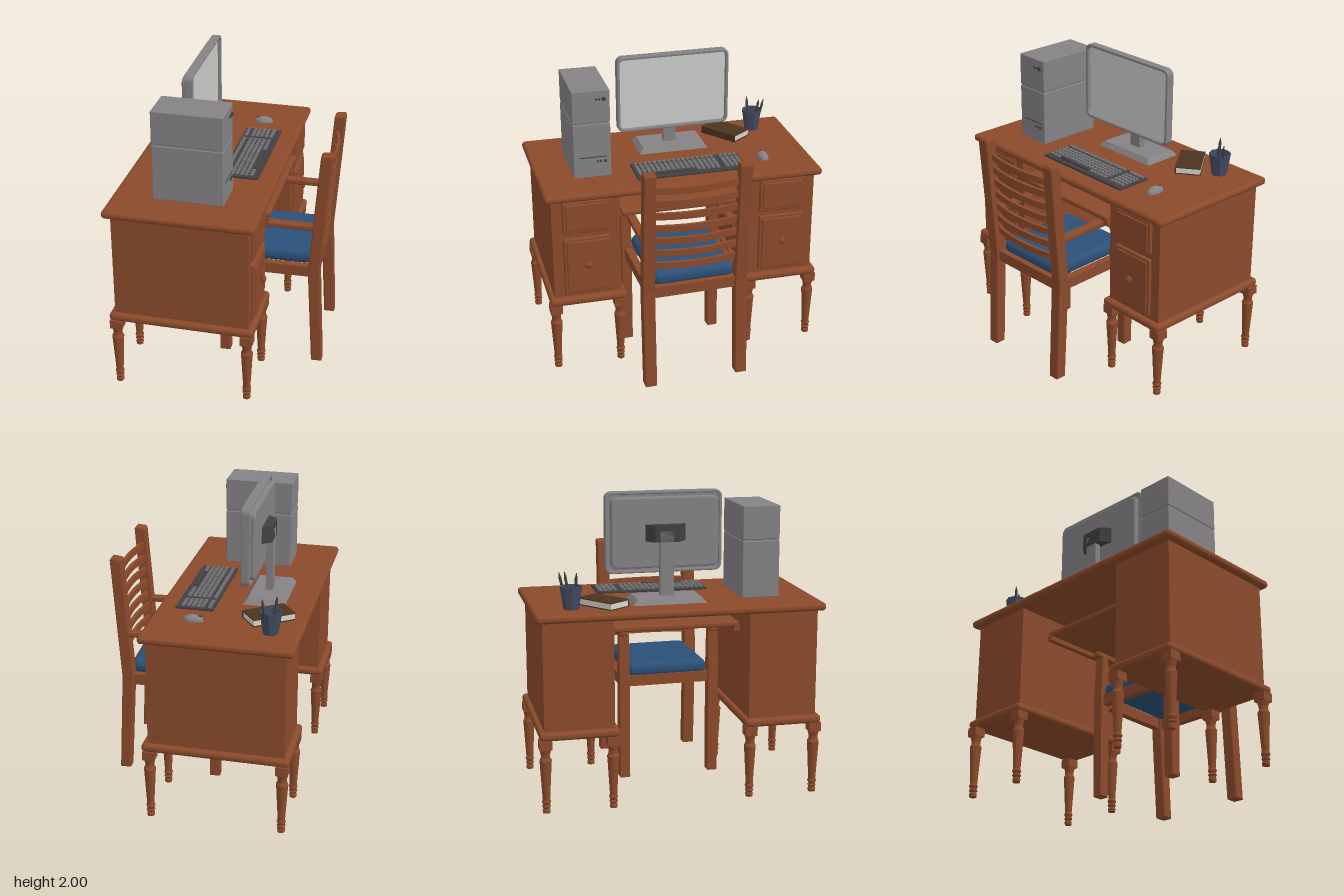
import * as THREE from 'three';
import { mergeGeometries } from 'three/addons/utils/BufferGeometryUtils.js';
import { RoundedBoxGeometry } from 'three/addons/geometries/RoundedBoxGeometry.js';

const mat = (name, color, flatShading = false) =>
  Object.assign(new THREE.MeshStandardMaterial({ color, flatShading }), { name });

const wood = mat('wood', 0x8b4a2b);
const grey = mat('grey plastic', 0x848284);
const glass = mat('screen', 0xc9ccc9);
const blue = mat('blue fabric', 0x2b5078);
const dark = mat('dark plastic', 0x404042);
const keyGrey = mat('key grey', 0x727274);
const cupBlue = mat('cup blue', 0x434b62);
const cover = mat('book cover', 0x4d3422);
const paper = mat('paper', 0xd8d5ce);
cupBlue.side = THREE.DoubleSide;

function add(parent, name, geo, material) {
  const m = new THREE.Mesh(geo, material);
  m.name = name;
  parent.add(m);
  return m;
}
function group(parent, name) {
  const g = new THREE.Group();
  g.name = name;
  parent.add(g);
  return g;
}
// box given by its limits; r > 0 rounds the edges
function box(parent, name, material, [x0, x1], [y0, y1], [z0, z1], r = 0) {
  const s = [x1 - x0, y1 - y0, z1 - z0];
  const geo = r ? new RoundedBoxGeometry(...s, 3, r) : new THREE.BoxGeometry(...s);
  const m = add(parent, name, geo, material);
  m.position.set((x0 + x1) / 2, (y0 + y1) / 2, (z0 + z1) / 2);
  return m;
}
function roundedRect(w, h, r, Type = THREE.Shape) {
  const s = new Type(), x = w / 2, y = h / 2;
  s.absarc(x - r, y - r, r, 0, Math.PI / 2);
  s.absarc(-x + r, y - r, r, Math.PI / 2, Math.PI);
  s.absarc(-x + r, -y + r, r, Math.PI, Math.PI * 1.5);
  s.absarc(x - r, -y + r, r, Math.PI * 1.5, Math.PI * 2);
  s.closePath();
  return s;
}
const poly = pts => new THREE.Shape(pts.map(p => new THREE.Vector2(...p)));
const lathe = (pts, n) => new THREE.LatheGeometry(pts.map(p => new THREE.Vector2(...p)), n);
const extrude = (shape, depth, bevel = 0) => new THREE.ExtrudeGeometry(shape, {
  depth, bevelEnabled: bevel > 0, bevelSize: bevel, bevelThickness: bevel, bevelOffset: -bevel, bevelSegments: 2, curveSegments: 8,
});

function buildDesk(root) {
  const desk = group(root, 'desk');
  box(desk, 'deskTop', wood, [-0.68, 0.3], [1.245, 1.297], [-0.94, 0.94], 0.024);
  const legGeo = lathe([[0, 0], [0.024, 0], [0.026, 0.02], [0.02, 0.03], [0.029, 0.045], [0.021, 0.055],
    [0.03, 0.075], [0.024, 0.09], [0.038, 0.33], [0.04, 0.35], [0.03, 0.37], [0.03, 0.39], [0.04, 0.43], [0.04, 0.44]], 12).toNonIndexed();
  legGeo.computeVertexNormals();
  for (const s of [1, -1]) {
    const ped = group(desk, s > 0 ? 'leftPedestal' : 'rightPedestal');
    const span = (a, b) => (s > 0 ? [a, b] : [-b, -a]);
    box(ped, 'cabinet', wood, [-0.63, 0.255], [0.53, 1.25], span(0.443, 0.895));
    box(ped, 'baseMoulding', wood, [-0.665, 0.293], [0.487, 0.542], span(0.411, 0.928), 0.024);
    // drawer fronts with a raised inner panel
    for (const [y0, y1] of [[1.01, 1.24], [0.565, 0.975]]) {
      box(ped, 'drawerFront', wood, [0.245, 0.275], [y0, y1], span(0.512, 0.826), 0.01);
      box(ped, 'drawerPanel', wood, [0.26, 0.283], [y0 + 0.02, y1 - 0.02], span(0.532, 0.806), 0.008);
    }
    const knob = add(ped, 'drawerKnob', lathe([[0, 0.045], [0.018, 0.04], [0.027, 0.03], [0.024, 0.022], [0.009, 0.016], [0.009, 0]].reverse(), 12), wood);
    knob.rotation.z = -Math.PI / 2;
    knob.position.set(0.276, 0.79, s * 0.669);
    // turned legs under square blocks
    for (const x of [-0.62, 0.245]) for (const z of [0.455, 0.89]) {
      const leg = add(ped, 'deskLeg', legGeo, wood);
      leg.position.set(x, 0.005, s * z);
      box(ped, 'legBlock', wood, [x - 0.04, x + 0.04], [0.43, 0.49], [s * z - 0.04, s * z + 0.04]);
    }
    box(desk, 'trayRunner', wood, [-0.4, 0.28], [1.075, 1.11], span(0.405, 0.443));
  }
  box(desk, 'slidingTray', wood, [-0.4, 0.29], [1.105, 1.14], [-0.435, 0.435], 0.012);
}

function buildChair(root) {
  const chair = group(root, 'chair');
  chair.position.set(0.6, 0, 0.015);
  chair.rotation.y = 0.03;
  const postGeo = extrude(poly([[-0.035, 0], [0.037, 0], [0.004, 0.7], [0.064, 1.54], [0.055, 1.555], [0, 1.55], [-0.012, 1.54], [-0.075, 0.72], [-0.07, 0.62]]), 0.066, 0.008);
  const frontGeo = extrude(poly([[-0.67, 0], [-0.6, 0], [-0.592, 0.72], [-0.61, 1.01], [-0.66, 1.01], [-0.675, 0.72]]), 0.06, 0.006);
  for (const s of [1, -1]) {
    add(chair, 'backPost', postGeo, wood).position.z = s * 0.314 - 0.025;
    add(chair, 'frontLeg', frontGeo, wood).position.z = s * 0.312 - 0.024;
    box(chair, 'sideRail', wood, [-0.62, -0.04], [0.645, 0.72], [s * 0.305 - 0.025, s * 0.305 + 0.025]);
    const arm = box(chair, 'armrest', wood, [-0.69, -0.03], [1.0, 1.04], [s * 0.315 - 0.03, s * 0.315 + 0.03], 0.012);
    arm.rotation.z = -0.012;
  }
  box(chair, 'frontRail', wood, [-0.655, -0.61], [0.645, 0.72], [-0.29, 0.29]);
  box(chair, 'backRail', wood, [-0.06, -0.012], [0.645, 0.72], [-0.29, 0.29]);
  box(chair, 'seatCushion', blue, [-0.655, -0.045], [0.7, 0.802], [-0.277, 0.277], 0.045);
  // seven bowed slats following the lean of the posts
  const slat = new THREE.Shape();
  slat.moveTo(-0.015, -0.29);
  slat.quadraticCurveTo(0.065, 0, -0.015, 0.29);
  slat.lineTo(-0.037, 0.29);
  slat.quadraticCurveTo(0.043, 0, -0.037, -0.29);
  const slatGeo = extrude(slat, 0.045).rotateX(Math.PI / 2);
  for (let i = 0; i < 7; i++) {
    const y = 0.9 + i * 0.0905;
    add(chair, 'backSlat', slatGeo, wood).position.set(-0.02 + (y - 0.7) * 0.07, y, 0);
  }
}

function buildMonitor(root) {
  const mon = group(root, 'monitor');
  const head = group(mon, 'display');
  head.position.set(-0.29, 1.735, -0.047);
  head.rotation.y = Math.PI / 2 + 0.012;
  const rim = roundedRect(0.775, 0.53, 0.045);
  rim.holes.push(roundedRect(0.735, 0.49, 0.03, THREE.Path));
  add(head, 'bezel', extrude(rim, 0.045, 0.006)).material = grey;
  add(head, 'displayPanel', extrude(roundedRect(0.765, 0.52, 0.042), 0.02), grey).position.z = 0.005;
  add(head, 'displayBack', extrude(roundedRect(0.71, 0.46, 0.04), 0.035, 0.012), grey).position.z = -0.022;
  add(head, 'screen', new THREE.ShapeGeometry(roundedRect(0.735, 0.49, 0.03)), glass).position.z = 0.028;
  // mount, neck and bevelled foot
  const mount = add(mon, 'mount', extrude(poly([[-0.315, -0.14], [-0.315, 0.14], [-0.385, 0.08], [-0.385, -0.08]]), 0.11).rotateX(Math.PI / 2), dark);
  mount.position.set(0, 1.79, -0.045);
  box(mon, 'neck', grey, [-0.385, -0.34], [1.31, 1.75], [-0.09, -0.002]);
  const foot = new THREE.BoxGeometry(0.27, 0.035, 0.48);
  const p = foot.attributes.position;
  for (let i = 0; i < p.count; i++) if (p.getY(i) > 0) p.setXYZ(i, p.getX(i) * 0.82, p.getY(i), p.getZ(i) * 0.88);
  foot.computeVertexNormals();
  add(mon, 'stand', foot, grey).position.set(-0.365, 1.3145, -0.05);
}

function buildTower(root) {
  const t = group(root, 'computerTower');
  box(t, 'lowerCase', grey, [-0.41, 0.05], [1.296, 1.67], [0.45, 0.7], 0.006);
  box(t, 'upperCase', grey, [-0.41, 0.05], [1.68, 1.9], [0.45, 0.7], 0.006);
  box(t, 'caseSeam', grey, [-0.405, 0.045], [1.66, 1.69], [0.455, 0.695]);
  box(t, 'driveSlot', dark, [0.046, 0.053], [1.437, 1.443], [0.48, 0.66]);
  for (const [y, z, r] of [[1.84, 0.49, 0.014], [1.84, 0.52, 0.007], [1.84, 0.54, 0.007], [1.41, 0.49, 0.01], [1.41, 0.52, 0.007], [1.41, 0.54, 0.007]]) {
    const b = add(t, 'button', new THREE.CylinderGeometry(r, r, 0.016, 12), dark);
    b.rotation.z = Math.PI / 2;
    b.position.set(0.052, y, z);
  }
}

function buildKeyboard(root) {
  const kb = group(root, 'keyboard');
  box(kb, 'keyboardBody', dark, [-0.07, 0.18], [1.296, 1.312], [-0.45, 0.3], 0.005);
  const keys = [];
  [-0.042, 0.004, 0.035, 0.066, 0.097, 0.132].forEach((x, row) => {
    for (let c = 0; c < 21; c++) {
      const z = c < 17 ? 0.268 - c * 0.033 : 0.228 - c * 0.0325;
      if (row === 5 && z > -0.11 && z < 0.18) continue;
      keys.push(new THREE.BoxGeometry(0.021, 0.012, 0.022).translate(x, 1.316, z));
    }
  });
  add(kb, 'keys', mergeGeometries(keys), keyGrey);
  box(kb, 'spaceBar', dark, [0.122, 0.144], [1.31, 1.322], [-0.1, 0.17]);
}

function buildSmallItems(root) {
  // mouse
  const mouse = group(root, 'mouse');
  const shell = add(mouse, 'mouseShell', new THREE.SphereGeometry(1, 16, 6, 0, Math.PI * 2, 0, Math.PI / 2), grey);
  shell.scale.set(0.066, 0.038, 0.038);
  shell.position.set(0.02, 1.297, -0.607);
  box(mouse, 'mouseWheel', dark, [-0.03, -0.012], [1.315, 1.332], [-0.611, -0.603]);

  // pen cup
  const cup = group(root, 'penCup');
  cup.position.set(-0.49, 1.296, -0.69);
  const wall = lathe([[0, 0], [0.05, 0], [0.072, 0.148], [0.064, 0.148], [0.045, 0.01], [0, 0.01]], 8).toNonIndexed();
  wall.computeVertexNormals();
  add(cup, 'cup', wall, cupBlue);
  const penGeo = lathe([[0, 0], [0.008, 0], [0.009, 0.19], [0.002, 0.225], [0, 0.225]], 8);
  for (const [x, z, tx, tz] of [[-0.01, 0.02, 0.05, 0.1], [0.03, 0.0, -0.15, -0.08], [0.02, -0.025, -0.2, -0.1]]) {
    const pen = add(cup, 'pen', penGeo, dark);
    pen.position.set(x, 0.012, z);
    pen.rotation.set(tx, 0, tz);
  }

  // book lying at an angle
  const book = group(root, 'book');
  book.position.set(-0.438, 1.296, -0.477);
  book.rotation.y = 0.64;
  box(book, 'bottomCover', cover, [-0.146, 0.146], [0, 0.007], [-0.085, 0.085]);
  box(book, 'topCover', cover, [-0.146, 0.146], [0.043, 0.05], [-0.085, 0.085]);
  box(book, 'spine', cover, [-0.146, 0.146], [0.007, 0.043], [0.076, 0.085]);
  box(book, 'pages', paper, [-0.142, 0.142], [0.007, 0.043], [-0.081, 0.076]);
}

export function createModel() {
  const root = new THREE.Group();
  root.name = 'computerDesk';
  [buildDesk, buildChair, buildMonitor, buildTower, buildKeyboard, buildSmallItems].forEach(build => build(root));
  return root;
}
